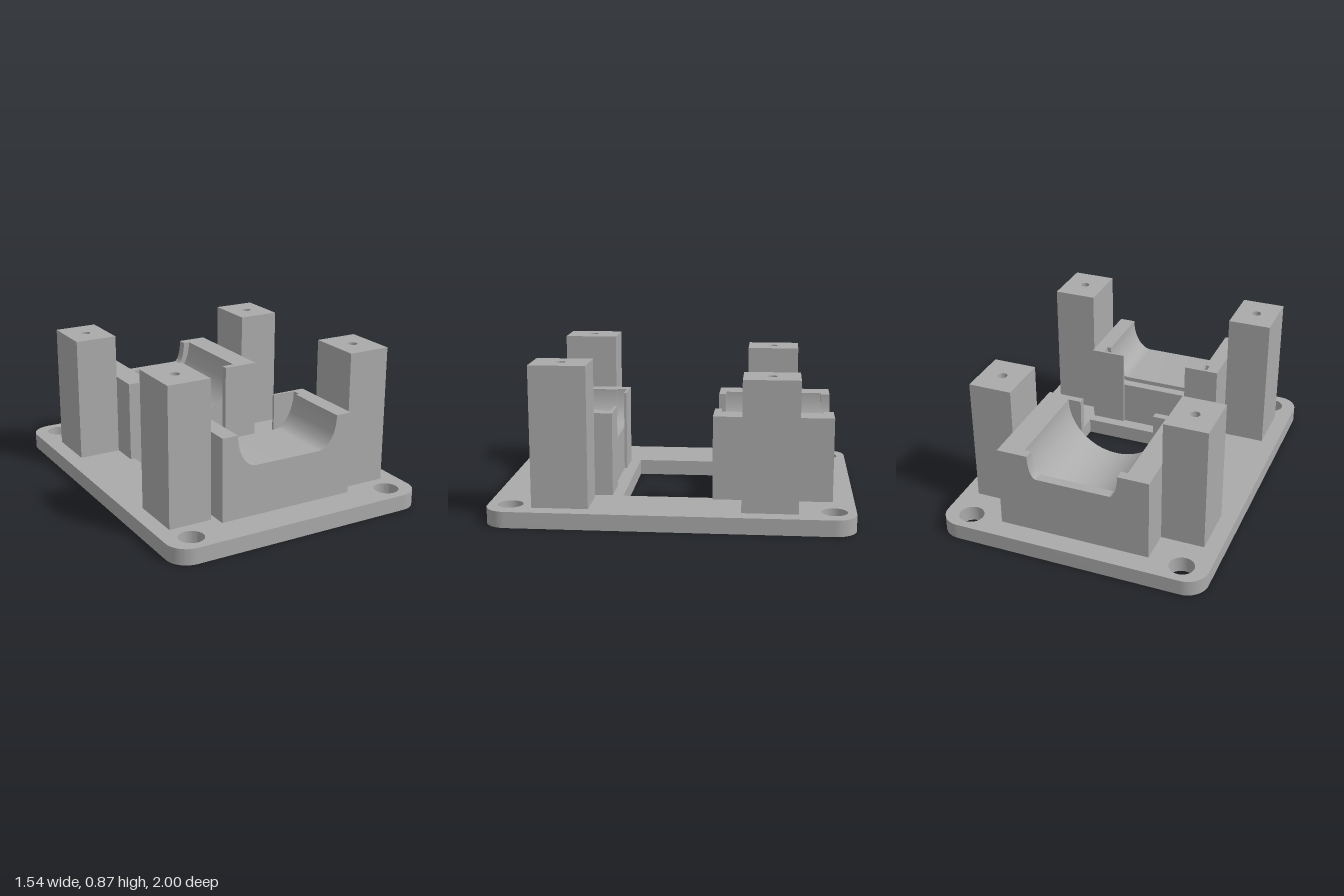
import * as THREE from 'three';
import { toCreasedNormals } from 'three/addons/utils/BufferGeometryUtils.js';

const BASE_TOP = 0.09, BLOCK_TOP = 0.56;

export function createModel() {
  const group = new THREE.Group();
  const grey = new THREE.MeshStandardMaterial({ color: 0xaaaaaa });
  grey.name = 'plain grey';

  const add = (name, geometry, parent = group) => {
    const mesh = new THREE.Mesh(geometry, grey);
    mesh.name = name;
    parent.add(mesh);
    return mesh;
  };
  const extrude = (shape, depth) => toCreasedNormals(
    new THREE.ExtrudeGeometry(shape, { depth, bevelEnabled: false, curveSegments: 20 }), 0.5);
  // Extrude a plan drawn in x and -z upward from y0 to y1
  const rise = (shape, y0, y1) => extrude(shape, y1 - y0).rotateX(-Math.PI / 2).translate(0, y0, 0);
  const box = (x0, x1, y0, y1, z0, z1) => new THREE.BoxGeometry(x1 - x0, y1 - y0, z1 - z0)
    .translate((x0 + x1) / 2, (y0 + y1) / 2, (z0 + z1) / 2);
  const circle = (x, y, r) => new THREE.Path().absarc(x, y, r, 0, Math.PI * 2, true);
  const rectangle = (path, x0, x1, y0, y1) => path.moveTo(x0, y0).lineTo(x1, y0)
    .lineTo(x1, y1).lineTo(x0, y1).closePath();

  // Rounded base plate with a window and four corner screw holes
  const w = 0.77, r = 0.12;
  const plate = new THREE.Shape();
  plate.absarc(w - r, 1 - r, r, 0, Math.PI / 2);
  plate.absarc(r - w, 1 - r, r, Math.PI / 2, Math.PI);
  plate.absarc(r - w, r - 1, r, Math.PI, Math.PI * 1.5);
  plate.absarc(w - r, r - 1, r, Math.PI * 1.5, Math.PI * 2);
  plate.closePath();
  plate.holes.push(rectangle(new THREE.Path(), -0.405, 0.405, -0.285, 0.22));
  for (const x of [-0.62, 0.62]) for (const y of [-0.877, 0.882]) plate.holes.push(circle(x, y, 0.07));
  add('basePlate', rise(plate, 0, BASE_TOP));

  // Four square posts with pilot holes; the front pair is taller
  for (const [name, z0, z1, top] of [['front', 0.44, 0.75, 0.87], ['rear', -0.69, -0.385, 0.81]]) {
    for (const side of [-1, 1]) {
      const plan = rectangle(new THREE.Shape(), side * 0.557 - 0.123, side * 0.557 + 0.123, -z1, -z0);
      plan.holes.push(circle(side * 0.557, -(z0 + z1) / 2, 0.027));
      add(name + (side > 0 ? 'LeftPost' : 'RightPost'), rise(plan, BASE_TOP, top));
    }
  }

  // One slice of a cradle: a block whose top channel has elliptical sides and a flat floor
  const slice = (parent, name, half, rim, flat, floor, z0, z1) => {
    const s = new THREE.Shape();
    s.moveTo(-half, BASE_TOP).lineTo(half, BASE_TOP).lineTo(half, BLOCK_TOP).lineTo(rim, BLOCK_TOP);
    s.absellipse(flat, BLOCK_TOP, rim - flat, BLOCK_TOP - floor, 0, -Math.PI / 2, true);
    s.absellipse(-flat, BLOCK_TOP, rim - flat, BLOCK_TOP - floor, -Math.PI / 2, -Math.PI, true);
    s.lineTo(-half, BLOCK_TOP).closePath();
    add(name, extrude(s, z1 - z0).translate(0, 0, z0), parent);
  };
  // Two retaining walls with an open slot between them
  const slottedWall = (parent, half, gap, z0, z1) => {
    add('leftRetainingWall', box(gap, half, BASE_TOP, BLOCK_TOP, z0, z1), parent);
    add('rightRetainingWall', box(-half, -gap, BASE_TOP, BLOCK_TOP, z0, z1), parent);
  };

  // Front cradle: flat channel, flange groove and slotted inner wall
  const front = new THREE.Group();
  front.name = 'frontCradle';
  slice(front, 'frontChannel', 0.402, 0.31, 0.195, 0.375, 0.415, 0.813);
  slice(front, 'flangeGroove', 0.402, 0.333, 0.195, 0.35, 0.36, 0.415);
  slottedWall(front, 0.402, 0.2, 0.345, 0.36);
  group.add(front);

  // Rear cradle: notched end wall, round channel and slotted inner wall
  const rear = new THREE.Group();
  rear.name = 'rearCradle';
  slice(rear, 'notchedEndWall', 0.433, 0.257, 0.21, 0.425, -0.88, -0.825);
  slice(rear, 'roundChannel', 0.433, 0.295, 0.001, 0.265, -0.825, -0.257);
  slottedWall(rear, 0.433, 0.22, -0.257, -0.217);
  group.add(rear);

  return group;
}
